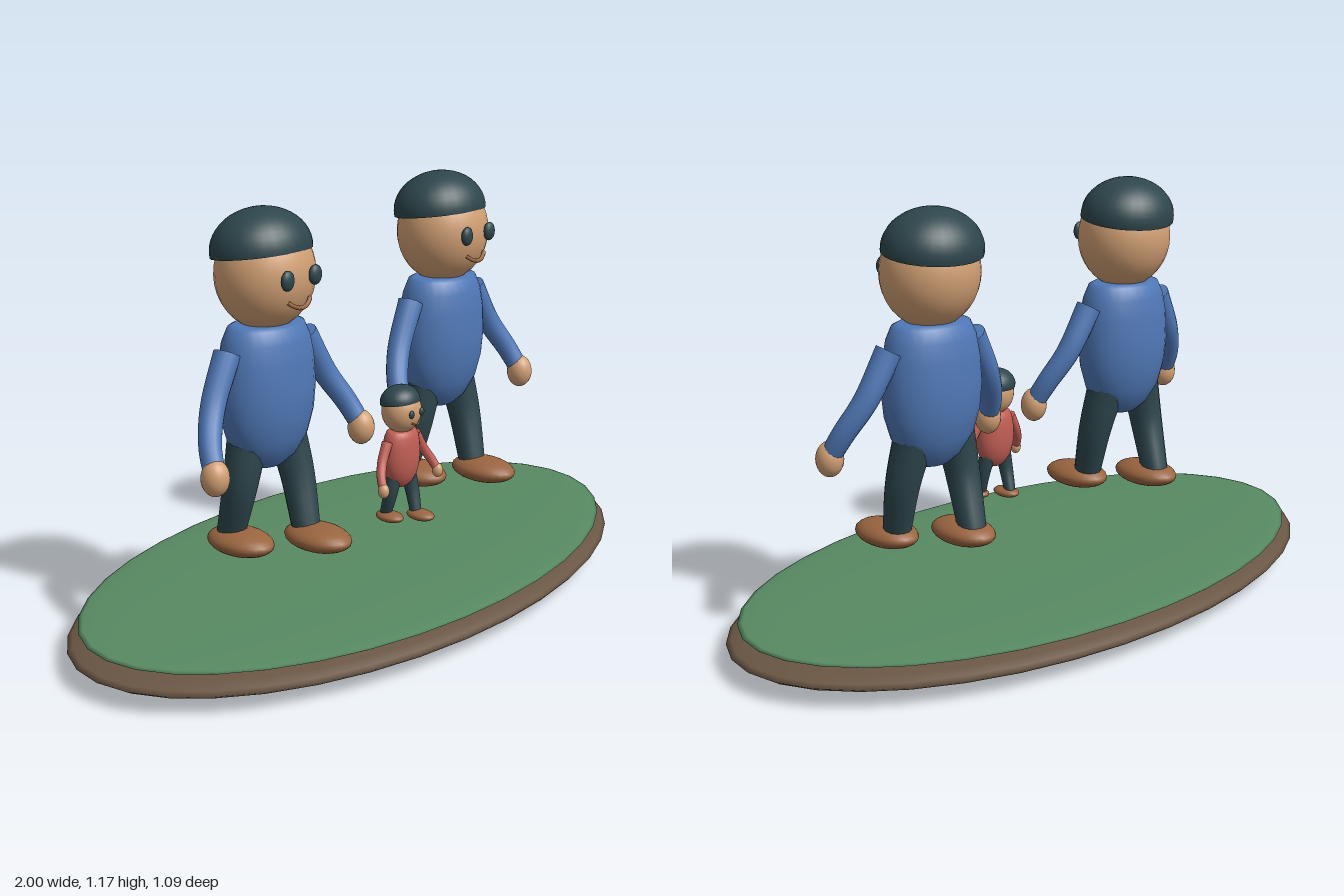
import * as THREE from 'three';

const mat = (name, color, side = THREE.FrontSide) =>
  Object.assign(new THREE.MeshStandardMaterial({ color, side }), { name });

export function createModel() {
  const skin = mat('skin', 0xd2a074);
  const dark = mat('dark slate', 0x2d464c, THREE.DoubleSide);
  const blue = mat('blue shirt', 0x5079b8);
  const red = mat('red shirt', 0xc25f55);
  const brown = mat('shoe brown', 0x9a6540);
  const grass = mat('grass green', 0x578a62);
  const soil = mat('soil brown', 0x6a5644);

  const add = (parent, name, geometry, material) => {
    const mesh = new THREE.Mesh(geometry, material);
    mesh.name = name;
    parent.add(mesh);
    return mesh;
  };

  const ellipsoid = (parent, name, material, pos, size, w = 28, h = 18) => {
    const mesh = add(parent, name, new THREE.SphereGeometry(1, w, h), material);
    mesh.position.set(...pos);
    mesh.scale.set(...size);
    return mesh;
  };

  // Tapered tube along a smooth path, with a flat cap at its start
  const limb = (parent, name, material, points, r0, r1) => {
    const curve = new THREE.CatmullRomCurve3(points.map(p => new THREE.Vector3(...p)));
    const rings = 16, sides = 14;
    const geo = new THREE.TubeGeometry(curve, rings, 1, sides);
    const pos = geo.attributes.position, nor = geo.attributes.normal;
    const n = new THREE.Vector3();
    for (let i = 0; i < pos.count; i++) {
      const t = Math.floor(i / (sides + 1)) / rings;
      n.fromBufferAttribute(nor, i).multiplyScalar(r0 + (r1 - r0) * t);
      n.add(curve.getPointAt(t));
      pos.setXYZ(i, n.x, n.y, n.z);
    }
    add(parent, name, geo, material);
    const cap = add(parent, name + 'Cap', new THREE.CircleGeometry(r0, sides), material);
    cap.position.copy(curve.getPointAt(0));
    cap.lookAt(cap.position.clone().sub(curve.getTangentAt(0)));
  };

  const person = (name, shirt) => {
    const g = new THREE.Group();
    g.name = name;

    // Barrel-shaped torso, flattened front to back
    const profile = [[0, 0.468], [0.05, 0.475], [0.09, 0.502], [0.127, 0.555], [0.147, 0.62], [0.154, 0.69],
      [0.149, 0.77], [0.138, 0.825], [0.12, 0.862], [0.1, 0.87], [0, 0.872]];
    const torso = add(g, 'torso',
      new THREE.LatheGeometry(profile.map(p => new THREE.Vector2(...p)), 28), shirt);
    torso.scale.z = 0.69;

    // Head, hair cap and face
    ellipsoid(g, 'head', skin, [0, 1.0, 0], [0.14, 0.15, 0.13]);
    const hair = add(g, 'hair',
      new THREE.SphereGeometry(1, 28, 12, 0, Math.PI * 2, 0, Math.PI * 0.53), dark);
    hair.position.set(0, 1.063, -0.012);
    hair.scale.set(0.145, 0.11, 0.127);
    hair.rotation.x = -0.13;
    const smile = new THREE.QuadraticBezierCurve3(
      new THREE.Vector3(-0.042, 0.945, 0.12),
      new THREE.Vector3(0, 0.908, 0.143),
      new THREE.Vector3(0.042, 0.945, 0.12));
    add(g, 'mouth', new THREE.TubeGeometry(smile, 12, 0.006, 8), brown);

    for (const s of [-1, 1]) {
      ellipsoid(g, 'eye', dark, [0.052 * s, 1.005, 0.13], [0.022, 0.027, 0.013], 16, 12);

      // Arms swing outward and forward
      limb(g, 'arm', shirt, [[0.145 * s, 0.81, 0], [0.215 * s, 0.685, 0.015],
        [0.262 * s, 0.6, 0.05], [0.282 * s, 0.535, 0.085]], 0.037, 0.029);
      ellipsoid(g, 'hand', skin, [0.282 * s, 0.527, 0.087], [0.038, 0.049, 0.038], 18, 14);

      // Striding legs, the left one forward
      const front = s > 0;
      limb(g, 'leg', dark, [[0.07 * s, 0.565, -0.005], [0.09 * s, 0.43, front ? 0.022 : -0.018],
        [0.08 * s, 0.275, front ? 0.065 : -0.068]], 0.056, 0.039);
      ellipsoid(g, 'shoe', brown, [0.08 * s, 0.266, front ? 0.107 : -0.03], [0.072, 0.036, 0.107], 24, 14);
    }
    return g;
  };

  const model = new THREE.Group();
  model.name = 'familyOnIsland';

  // Ground disc
  ellipsoid(model, 'soilBase', soil, [0, 0.057, 0], [1, 0.057, 0.545], 36, 18);
  ellipsoid(model, 'grassTop', grass, [0, 0.104, 0], [0.965, 0.019, 0.525], 36, 18);

  // Two adults with a child between them
  for (const s of [-1, 1]) {
    const adult = person(s < 0 ? 'rightAdult' : 'leftAdult', blue);
    adult.position.x = 0.373 * s;
    model.add(adult);
  }
  const child = person('child', red);
  child.scale.setScalar(0.42);
  child.position.set(0, 0.148, 0.157);
  model.add(child);

  return model;
}
